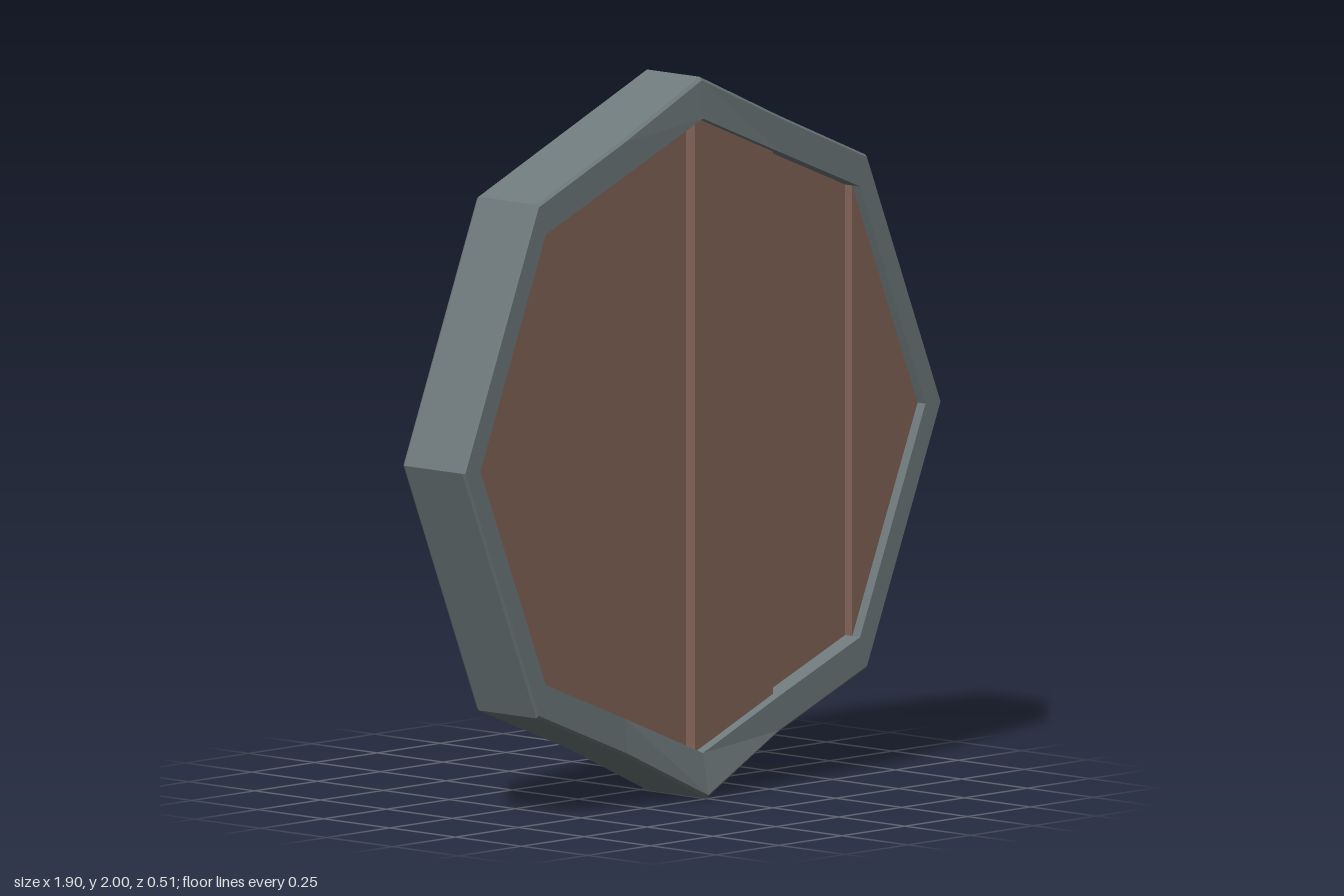
import * as THREE from 'three';

const mat = (name, color, side = THREE.FrontSide) => {
  const m = new THREE.MeshStandardMaterial({ color, side, flatShading: true });
  m.name = name;
  return m;
};

// Surface through rows of equal length; optionally closed in both directions
function surface(rows, closed) {
  const pos = [], n = rows.length, m = rows[0].length;
  for (let i = 0; i < (closed ? n : n - 1); i++) {
    for (let j = 0; j < (closed ? m : m - 1); j++) {
      const a = rows[i][j], b = rows[i][(j + 1) % m];
      const c = rows[(i + 1) % n][(j + 1) % m], d = rows[(i + 1) % n][j];
      pos.push(...a, ...b, ...c, ...a, ...c, ...d);
    }
  }
  const g = new THREE.BufferGeometry();
  g.setAttribute('position', new THREE.Float32BufferAttribute(pos, 3));
  g.computeVertexNormals();
  return g;
}

export function createModel() {
  const group = new THREE.Group();
  const steel = mat('steel', 0x6e797b, THREE.DoubleSide);
  const wood = mat('wood', 0x846458);
  const leather = mat('leather', 0x8a7d67, THREE.DoubleSide);
  const add = (name, geometry, material, parent = group) => {
    const mesh = new THREE.Mesh(geometry, material);
    mesh.name = name;
    parent.add(mesh);
    return mesh;
  };

  // Rim: right half stations [outer x, outer y, inner x, inner y, back shift, front shift]
  const half = [
    [0, 2, 0, 1.885, 0.015, -0.005],
    [0.31, 1.86, 0.31, 1.758, 0, 0],
    [0.655, 1.715, 0.625, 1.63, 0, 0],
    [0.95, 1.0, 0.885, 1.0, 0, 0],
    [0.655, 0.29, 0.625, 0.38, 0, 0],
    [0.3, 0.147, 0.31, 0.2535, 0, 0],
    [0, 0, 0, 0.125, 0.02, 0.02],
  ];
  const mirrored = half.slice(1, -1).reverse().map(([ox, oy, ix, iy, b, f]) => [-ox, oy, -ix, iy, b, f]);
  // Cross-section: [inward fraction, z] with small outer chamfers
  const section = [[0, 0.008], [0, 0.227], [0.08, 0.235], [1, 0.235], [1, 0], [0.08, 0]];
  const rim = [...half, ...mirrored].map(([ox, oy, ix, iy, b, f]) =>
    section.map(([t, z]) => [
      ox + (ix - ox) * t, oy + (iy - oy) * t,
      z + (t < 1 ? (z > 0.1 ? f : b) : 0),
    ]));
  add('rim', surface(rim, true), steel);

  // Planks: [x0, x1, back z, front z], cut to the inner outline
  const edge = (x, top, bottom) => {
    const a = Math.abs(x);
    return a <= 0.625 ? top + (1 - a / 0.625) * (bottom ? -0.255 : 0.255)
      : top + (1.0 - top) * (a - 0.625) / 0.26;
  };
  const planks = [
    [-0.885, -0.625, 0.01, 0.21], [-0.625, -0.31, 0.035, 0.195],
    [-0.31, 0, 0.005, 0.17], [0, 0.31, 0.04, 0.205],
    [0.31, 0.625, 0.015, 0.178], [0.625, 0.885, 0.002, 0.205],
  ];
  for (const [x0, x1, back, front] of planks) {
    const corners = [
      [x0, edge(x0, 0.38, true)], [x1, edge(x1, 0.38, true)],
      [x1, edge(x1, 1.63, false)], [x0, edge(x0, 1.63, false)],
    ].map(([x, y]) => new THREE.Vector2(x, y));
    // End planks taper to a single point
    if (x0 < -0.8) corners.pop();
    if (x1 > 0.8) corners.splice(2, 1);
    const g = new THREE.ExtrudeGeometry(new THREE.Shape(corners), { depth: front - back, bevelEnabled: false });
    g.translate(0, 0, back);
    add('plank', g, wood);
  }

  // Arm strap and hand grip: ribbon path points are [y, z]; lining is the steel stretch of the path
  const handles = [
    {
      name: 'armStrap', x0: -0.31, x1: 0, back: 0.005, plate: -0.015, block: -0.045,
      left: -0.25, width: 0.13, shear: 0.2, tilt: 0.02,
      path: [[1.195, -0.049], [1.11, -0.058], [1.1, -0.12], [1.06, -0.22], [0.9, -0.252],
        [0.755, -0.212], [0.735, -0.07], [0.655, -0.049]],
    },
    {
      name: 'handGrip', x0: 0.31, x1: 0.625, back: 0.015, plate: -0.002, block: -0.026,
      left: 0.41, width: 0.12, shear: 0.2, tilt: 0, lining: 6,
      path: [[1.195, -0.03], [1.1, -0.04], [1.05, -0.14], [0.97, -0.19], [0.89, -0.203],
        [0.8, -0.19], [0.75, -0.15], [0.735, -0.05], [0.655, -0.03]],
    },
  ];
  for (const h of handles) {
    const handle = new THREE.Group();
    handle.name = h.name;
    group.add(handle);
    for (const y of [1.145, 0.705]) {
      // Mounting plate across the plank
      const depth = h.back - h.plate;
      add('mountingPlate', new THREE.BoxGeometry(h.x1 - h.x0, 0.095, depth), steel, handle)
        .position.set((h.x0 + h.x1) / 2, y, h.plate + depth / 2);
      // Raised block that carries the strap end
      const raise = h.plate - h.block;
      add('strapBlock', new THREE.BoxGeometry(h.width + 0.02, 0.105, raise), steel, handle)
        .position.set(h.left + h.width / 2, y, h.block + raise / 2);
    }
    const z0 = h.path[0][1];
    const rows = h.path.map(([y, z]) => {
      const out = z0 - z, x = h.left + out * h.shear;
      return [[x, y, z], [x + h.width, y, z + h.tilt * out / 0.2]];
    });
    if (h.lining) {
      add('strap', surface(rows.slice(0, h.lining + 1), false), leather, handle);
      add('strapFitting', surface(rows.slice(h.lining, h.lining + 2), false), steel, handle);
      add('strapEnd', surface(rows.slice(h.lining + 1), false), leather, handle);
    } else {
      add('strap', surface(rows, false), leather, handle);
    }
  }
  return group;
}
